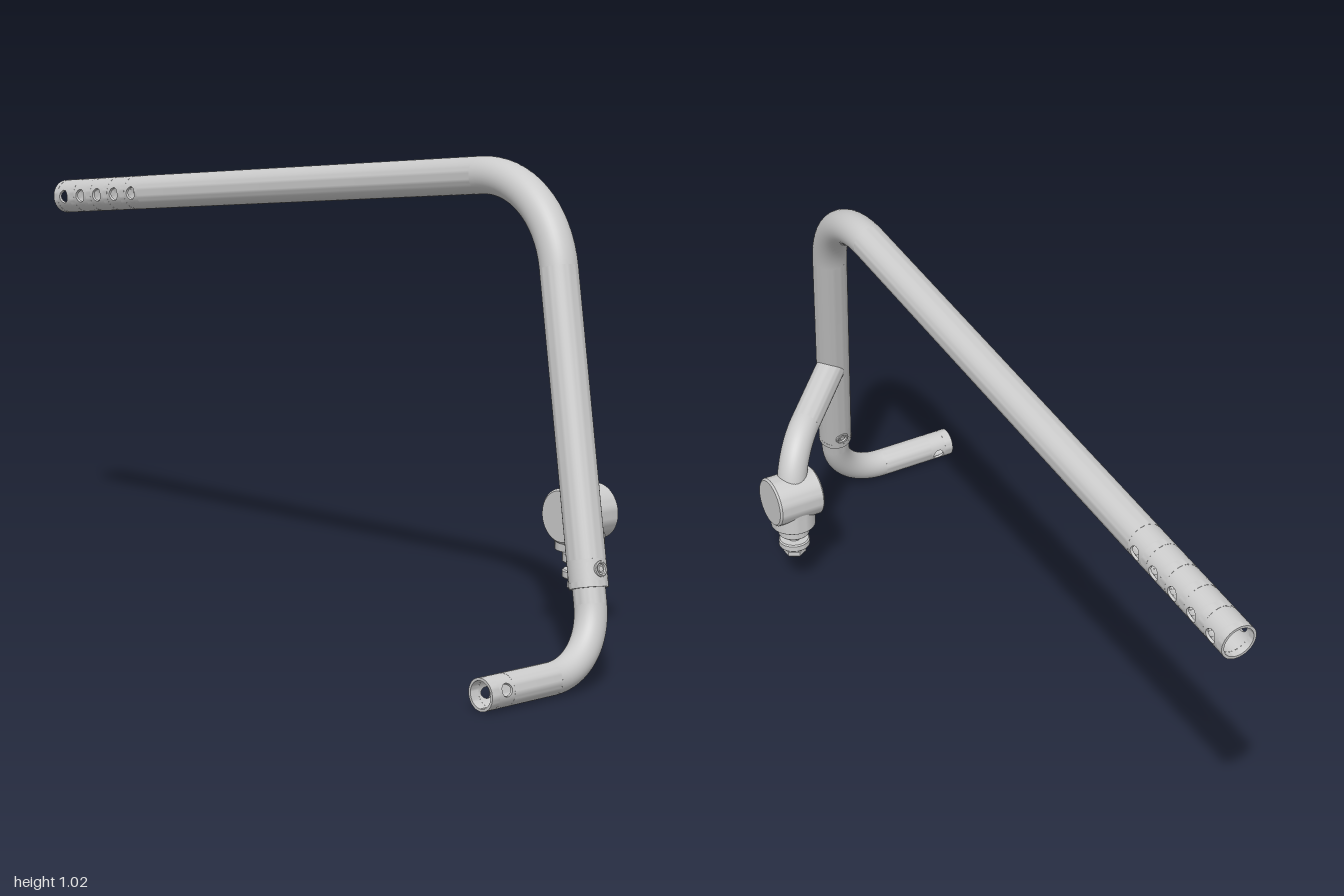
import * as THREE from 'three';
import { toCreasedNormals } from 'three/addons/utils/BufferGeometryUtils.js';

const V = (x, y, z) => new THREE.Vector3(x, y, z);
const grey = new THREE.MeshStandardMaterial({ color: 0xcccccc, side: THREE.DoubleSide });

function mesh(geometry, name) {
  const m = new THREE.Mesh(geometry, grey);
  m.name = name;
  return m;
}

// Turned part around y from [radius, height] pairs, listed bottom to top
function turned(profile, name, sides = 40) {
  const pts = profile.map(([r, y]) => new THREE.Vector2(r, y));
  return mesh(toCreasedNormals(new THREE.LatheGeometry(pts, sides), sides < 10 ? 0.3 : 0.5), name);
}

// Section of pipe wall pierced by two opposite round holes facing +z and -z
function piercedSection(yc, half, hole, R, ri) {
  const pos = [], nor = [], N = 40, STEPS = 6;
  const place = (side, phi, t, r) => {
    const c = Math.cos(phi), s = Math.sin(phi), m = Math.max(Math.abs(c), Math.abs(s));
    const u = THREE.MathUtils.lerp((half * c) / m, hole * c, t);
    const th = THREE.MathUtils.lerp((Math.PI / 2) * (s / m), Math.asin((hole * s) / R), t) + side * Math.PI;
    return V(r * Math.sin(th), yc + u, r * Math.cos(th));
  };
  const tri = (pts, normalAt) => {
    const n = pts.map(normalAt);
    const face = pts[1].clone().sub(pts[0]).cross(pts[2].clone().sub(pts[0]));
    const order = face.dot(n[0]) < 0 ? [0, 2, 1] : [0, 1, 2];
    for (const k of order) {
      pos.push(...pts[k].toArray());
      nor.push(...n[k].toArray());
    }
  };
  const outward = p => V(p.x, 0, p.z).normalize();
  const inward = p => outward(p).negate();
  const toCentre = p => V(-p.x, yc - p.y, 0).normalize();
  const strips = [[1, 1, R, ri, toCentre]];
  for (let j = 0; j < STEPS; j++) {
    strips.push([j / STEPS, (j + 1) / STEPS, R, R, outward], [j / STEPS, (j + 1) / STEPS, ri, ri, inward]);
  }
  for (const side of [0, 1]) for (const [t0, t1, r0, r1, fn] of strips) for (let i = 0; i < N; i++) {
    const p0 = (i / N) * Math.PI * 2, p1 = ((i + 1) / N) * Math.PI * 2;
    const a = place(side, p0, t0, r0), b = place(side, p1, t0, r0);
    const c = place(side, p1, t1, r1), d = place(side, p0, t1, r1);
    tri([a, b, c], fn);
    tri([a, c, d], fn);
  }
  const g = new THREE.BufferGeometry();
  g.setAttribute('position', new THREE.Float32BufferAttribute(pos, 3));
  g.setAttribute('normal', new THREE.Float32BufferAttribute(nor, 3));
  return g;
}

// Group with its y axis along a -> b and its z axis towards dir
function aligned(a, b, dir, name) {
  const g = new THREE.Group();
  g.name = name;
  const y = b.clone().sub(a).normalize();
  const z = dir.clone().addScaledVector(y, -dir.dot(y)).normalize();
  g.quaternion.setFromRotationMatrix(new THREE.Matrix4().makeBasis(y.clone().cross(z), y, z));
  g.position.copy(a);
  return g;
}

// Straight hollow pipe, with through holes at the given distances from a
function pipe(name, a, b, R, ri, dir = V(0, 0, 1), holes = [], hole = 0, half = 0) {
  const g = aligned(a, b, dir, name);
  let y0 = 0;
  for (const end of [...holes, null]) {
    const y1 = end === null ? a.distanceTo(b) : end - half;
    g.add(turned([[ri, y0], [R, y0], [R, y1], [ri, y1], [ri, y0]], name + 'Wall'));
    if (end !== null) {
      g.add(mesh(piercedSection(end, half, hole, R, ri), name + 'Holes'));
      y0 = end + half;
    }
  }
  return g;
}

// Rounded hollow elbow at corner c, starting and ending at distance t from it
function elbow(name, from, c, to, t, R, ri) {
  const d0 = from.clone().sub(c).normalize(), d1 = to.clone().sub(c).normalize();
  const turn = Math.PI - d0.angleTo(d1);
  const k = t - (4 / 3) * Math.tan(turn / 4) * (t / Math.tan(turn / 2));
  const at = (d, s) => c.clone().addScaledVector(d, s);
  const curve = new THREE.CubicBezierCurve3(at(d0, t), at(d0, k), at(d1, k), at(d1, t));
  const g = new THREE.Group();
  g.name = name;
  for (const r of [R, ri]) g.add(mesh(new THREE.TubeGeometry(curve, 16, r, 40), name + 'Wall'));
  g.userData.ends = [at(d0, t), at(d1, t)];
  return g;
}

export function createModel() {
  const model = new THREE.Group();
  model.name = 'bentTubeArm';
  const R = 0.04, RI = 0.034, r = 0.0335, ri = 0.028;
  const legAt = y => V(0.117 - 0.133 * (1 - y), y, 0.68 + 0.287 * (1 - y));
  const forward = V(0, 0.287, 1).normalize();

  // Long upper tube with a row of adjustment holes near its rear end
  const rear = V(0.117, 0.828, -0.996), top = legAt(1), legEnd = legAt(0.187);
  const topBend = elbow('topBend', rear, top, legEnd, 0.2, R, RI);
  const [railFront, legTop] = topBend.userData.ends;
  model.add(topBend);
  model.add(pipe('rearRail', rear, railFront, R, RI, V(1, 0, 0), [0, 1, 2, 3, 4].map(i => 0.04 + i * 0.068), 0.0155, 0.025));

  // Sloping leg, pierced for the cross pin
  const pinAt = legAt(0.22), pinDistance = pinAt.distanceTo(legEnd);
  model.add(pipe('leg', legEnd, legTop, R, RI, forward, [pinDistance], 0.0165, 0.022));

  // Cross pin with a dished head on each side
  for (const s of [1, -1]) {
    const head = aligned(pinAt, pinAt.clone().addScaledVector(forward, s), V(1, 0, 0), 'pinHead');
    head.add(turned([[0.016, 0.028], [0.016, 0.041], [0.0135, 0.0425], [0.011, 0.041], [0.01, 0.037],
      [0.007, 0.037], [0.006, 0.04], [0, 0.041]], 'pinHeadBody', 28));
    model.add(head);
  }

  // Lower tube telescoped into the leg, turning sideways to a pierced open end
  const corner = legAt(0.0345), side = V(-0.33, corner.y, corner.z), inner = legAt(0.27);
  const footBend = elbow('footBend', side, corner, inner, 0.128, r, ri);
  const [footIn, legIn] = footBend.userData.ends;
  model.add(footBend);
  model.add(pipe('footTube', side, footIn, r, ri, forward, [0.041], 0.0135, 0.02));
  model.add(pipe('innerTube', legIn, inner, r, ri));

  // Side branch curving down into the hub
  const hubX = 0.268, hubY = 0.263, hubZ = 0.633;
  const root = legAt(0.455), knee = V(hubX, 0.376, hubZ);
  const branchBend = elbow('branchBend', root, knee, V(hubX, 0.1, hubZ), 0.105, 0.035, 0.029);
  model.add(branchBend);
  model.add(pipe('branchTube', root.clone().lerp(knee, 0.06), branchBend.userData.ends[0], 0.035, 0.029));

  // Solid crosswise hub with bevelled rims
  const hub = turned([[0, -0.0585], [0.055, -0.0585], [0.0595, -0.054], [0.0595, 0.054], [0.055, 0.0585], [0, 0.0585]], 'hub', 48);
  hub.rotation.z = -Math.PI / 2;
  hub.position.set(hubX, hubY, hubZ);
  model.add(hub);

  // Stack hanging below the hub: base, two collars on a stud, and a nut
  const stack = new THREE.Group();
  stack.name = 'studAssembly';
  stack.position.set(hubX, 0, hubZ);
  const disc = (name, rad, y0, y1, bevel = 0.002, sides = 40) => stack.add(turned(
    [[0, y0], [rad - bevel, y0], [rad, y0 + bevel], [rad, y1 - bevel], [rad - bevel, y1], [0, y1]], name, sides));
  disc('hubBase', 0.053, 0.186, 0.25, 0.001);
  disc('upperCollar', 0.037, 0.158, 0.181, 0.003);
  disc('lowerCollar', 0.037, 0.124, 0.143, 0.003);
  disc('spacer', 0.027, 0.178, 0.188, 0.001);
  disc('stud', 0.016, 0.096, 0.2, 0.001);
  disc('nut', 0.027, 0.1, 0.119, 0.004, 6);
  model.add(stack);

  return model;
}
